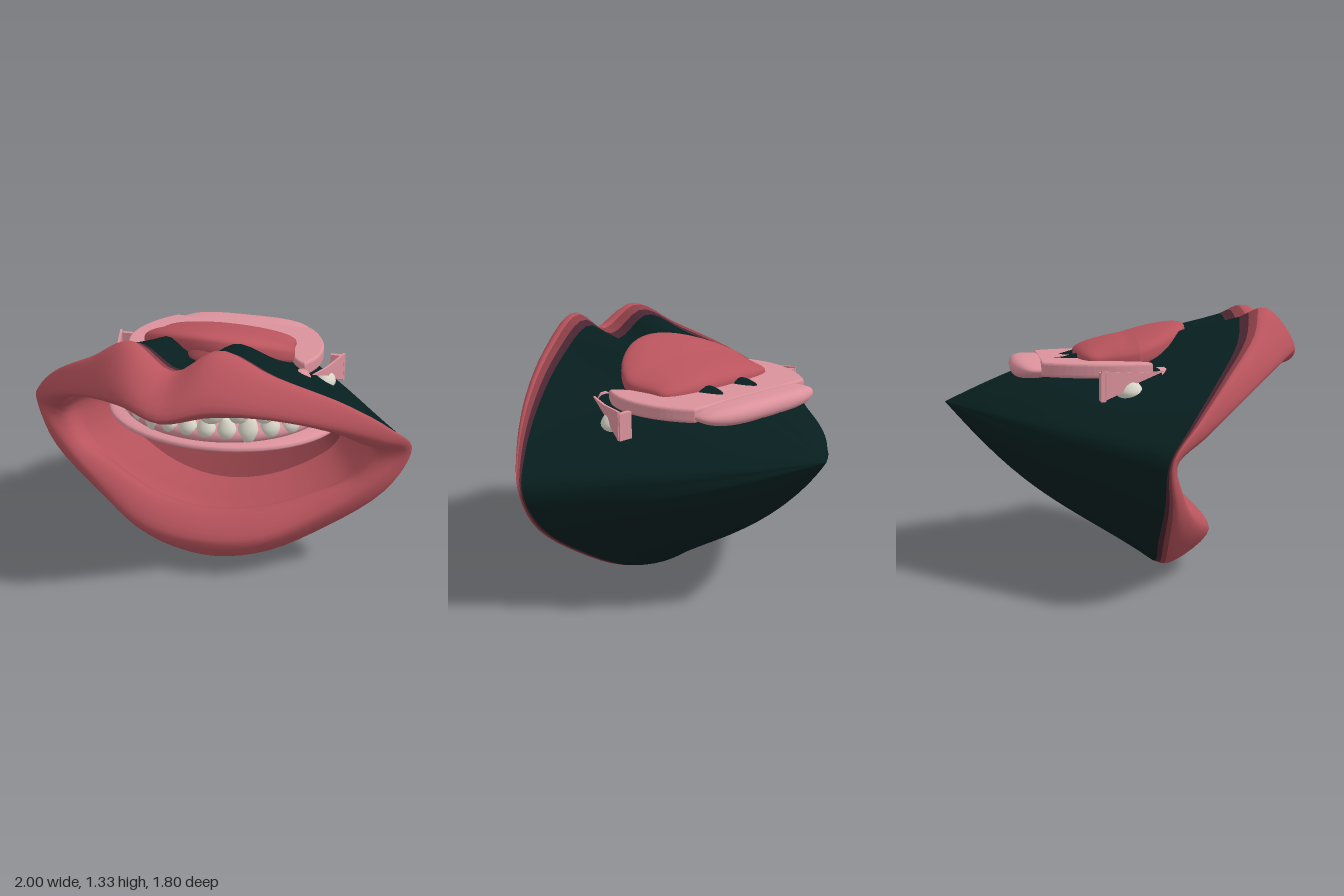
import * as THREE from 'three';

const V = (x, y, z) => new THREE.Vector3(x, y, z);
const paint = (name, color) => Object.assign(new THREE.MeshStandardMaterial({ color }), { name });
const round = (v, k) => Math.sign(v) * Math.abs(v) ** k;

// Half loops, top centre to bottom centre, from the back rim over the lip to the inside.
const LOOPS = [
  // back rim
  [[0, 1.18, .57], [.2, 1.285, .56], [.42, 1.17, .5], [.7, 1.0, .33], [.9, .83, .17],
    [.99, .7, .07], [.89, .49, .07], [.61, .26, .09], [.3, .08, .13], [0, .02, .14]],
  // outline crest
  [[0, 1.22, .74], [.2, 1.33, .7], [.42, 1.21, .62], [.7, 1.04, .42], [.9, .86, .23],
    [1, .71, .09], [.9, .49, .12], [.62, .25, .16], [.3, .065, .2], [0, 0, .21]],
  // front of the lip
  [[0, 1.08, .9], [.2, 1.12, .85], [.42, 1.07, .71], [.7, .93, .46], [.88, .8, .25],
    [.97, .7, .11], [.84, .53, .16], [.6, .36, .26], [.3, .23, .4], [0, .2, .44]],
  // edge of the opening
  [[0, 1.035, .84], [.2, 1.06, .76], [.42, 1.02, .62], [.65, .9, .42], [.78, .78, .26],
    [.84, .68, .12], [.75, .53, .14], [.55, .44, .19], [.28, .36, .28], [0, .33, .31]],
  // inside of the lip
  [[0, 1.11, .62], [.2, 1.13, .58], [.42, 1.06, .46], [.64, .93, .27], [.74, .79, .14],
    [.76, .7, .04], [.71, .52, .04], [.53, .38, .08], [.28, .28, .14], [0, .24, .16]],
];
const N = 80;

function fullLoop(half) {
  const pts = half.map(p => V(...p));
  for (let i = half.length - 2; i > 0; i--) pts.push(V(-half[i][0], half[i][1], half[i][2]));
  const curve = new THREE.CatmullRomCurve3(pts, true);
  return Array.from({ length: N }, (_, i) => curve.getPoint(i / N));
}

// Point on a rounded funnel running from a rim to its tip, fullest towards the tip
function funnel(p, tip, s, bulge) {
  const out = V(p.x, p.y - .72, 0).normalize().multiplyScalar(bulge * Math.sin(Math.PI * s ** 1.4));
  return p.clone().lerp(tip, s).add(out);
}

// One skin: outer bag, lips and inner pouch, coloured by bands of rows
function skinGeometry(bands) {
  const loops = LOOPS.map(fullLoop), rows = [];
  const tip = V(0, .86, -.9), innerTip = V(0, .84, -.86);
  for (let j = 16; j > 0; j--)
    rows.push(loops[0].map(p => funnel(p, tip, j / 16, p.y < .6 ? .085 : .06)));
  const profiles = loops[0].map((_, i) => new THREE.CatmullRomCurve3(loops.map(l => l[i])));
  for (let j = 0; j <= 24; j++) rows.push(profiles.map(c => c.getPoint(j / 24)));
  for (let j = 1; j <= 16; j++) rows.push(loops[4].map(p => funnel(p, innerTip, j / 16, .04)));

  const index = [], g = new THREE.BufferGeometry();
  for (let r = 0; r < rows.length - 1; r++)
    for (let i = 0; i < N; i++) {
      const k = (i + 1) % N, a = r * N + i, b = a + N, c = r * N + k, d = c + N;
      index.push(a, b, c, c, b, d);
    }
  g.setFromPoints(rows.flat());
  g.setIndex(index);
  let start = 0;
  for (const [end, mat] of bands) {
    g.addGroup(start * N * 6, (end - start) * N * 6, mat);
    start = end;
  }
  g.computeVertexNormals();
  return g;
}

// Sphere whose vertices are moved by a rule
function moulded(rule) {
  const g = new THREE.SphereGeometry(1, 56, 40), p = g.attributes.position;
  for (let i = 0; i < p.count; i++) p.setXYZ(i, ...rule(p.getX(i), p.getY(i), p.getZ(i)));
  g.computeVertexNormals();
  return g;
}

// Dental arch, angle 0 at the front
const arch = (a, y, rx, rz) => V(rx * Math.sin(a), y, -.1 + rz * Math.cos(a));
function archTube(y, rx, rz, span, radius) {
  const pts = Array.from({ length: 17 }, (_, i) => arch(span * (i / 8 - 1), y, rx, rz));
  return new THREE.TubeGeometry(new THREE.CatmullRomCurve3(pts), 64, radius, 12);
}

export function createModel() {
  const root = new THREE.Group();
  root.name = 'mouth';
  const red = paint('lip red', 0xb9545d), deep = paint('deep red', 0x8c3f46);
  const plum = paint('plum', 0x4a2632), dark = paint('dark teal', 0x081f1f);
  const pink = paint('gum pink', 0xdb929c), ivory = paint('tooth ivory', 0xdcd9cc);

  const add = (name, geo, mat, parent = root) => {
    const m = new THREE.Mesh(geo, mat);
    m.name = name;
    parent.add(m);
    return m;
  };

  // Lips and mouth cavity
  add('lipsAndCavity', skinGeometry([[16, 0], [18, 1], [20, 2], [43, 3], [46, 2], [51, 1], [56, 0]]),
    [dark, plum, deep, red]);

  // Tongue, raised through the roof, with a broad back and a narrow, lifted front
  add('tongue', moulded((x, y, z) => {
    const w = z < 0 ? 1 + 1.2 * z ** 4 : 1 - .22 * z, zz = .035 + .285 * z;
    const lift = zz > 0 ? 1.115 + .3 * zz : 1.115 + .15 * zz;
    return [x * .39 * w, lift + .085 * round(y, .6) - .03 * x * x, zz];
  }), red);
  const tip = add('tongueTip', new THREE.SphereGeometry(1, 24, 16), deep);
  tip.scale.set(.08, .04, .1);
  tip.position.set(0, 1.15, .265);
  const base = add('tongueBase', new THREE.SphereGeometry(1, 32, 20), red);
  base.scale.set(.34, .1, .3);
  base.position.set(0, .85, -.03);

  // Palate plate with two openings
  const plate = new THREE.Shape();
  plate.moveTo(-.45, -.07);
  plate.bezierCurveTo(-.54, .1, -.47, .3, -.37, .42);
  plate.lineTo(.37, .42);
  plate.bezierCurveTo(.47, .3, .54, .1, .45, -.07);
  plate.bezierCurveTo(.4, -.04, .38, .02, .34, .1);
  plate.lineTo(-.34, .1);
  plate.bezierCurveTo(-.38, .02, -.4, -.04, -.45, -.07);
  for (const s of [-1, 1]) {
    const hole = new THREE.Path();
    hole.moveTo(s * .18, .23);
    hole.quadraticCurveTo(s * .14, .35, s * .11, .355);
    hole.quadraticCurveTo(s * .07, .33, s * .055, .24);
    hole.closePath();
    plate.holes.push(hole);
  }
  const palate = add('palate', new THREE.ExtrudeGeometry(plate,
    { depth: .04, bevelSize: .012, bevelThickness: .015, bevelSegments: 4, curveSegments: 16 }), pink);
  palate.rotation.x = -Math.PI / 2;
  palate.position.y = 1.03;

  // Rounded ridge across the back of the palate
  add('palateRidge', moulded((x, y, z) =>
    [.375 * round(x, .55), 1.04 + .048 * y, -.485 + .09 * round(z, .55) + .04 * x * x]), pink);

  // Gums
  add('upperGum', archTube(1.01, .5, .49, 1.15, .052), pink);
  add('lowerGum', archTube(.775, .5, .46, 1.35, .04), pink);
  add('lowerGumPlate', moulded((x, y, z) =>
    [.62 * x, .72 + (y > 0 ? .045 : .06) * round(y, y > 0 ? .6 : 1), -.1 + (z > 0 ? .52 : .25) * z]), pink);

  // Teeth
  const profile = [[0, -1], [.4, -.95], [.78, -.75], [1, -.3], [.95, .1], [.72, .55], [.4, .9], [0, 1]];
  const toothGeo = new THREE.LatheGeometry(
    new THREE.SplineCurve(profile.map(p => new THREE.Vector2(...p))).getPoints(20), 20);
  function toothRow(name, spec, rx, rz, flip) {
    const row = new THREE.Group();
    row.name = name;
    root.add(row);
    for (const s of [-1, 1])
      spec.forEach(([a, w, h, y, depth = .04], i) => {
        const t = add(name + (s > 0 ? 'Left' : 'Right') + (i + 1), toothGeo, ivory, row);
        t.position.copy(arch(s * a, y, rx, rz));
        t.rotation.set(0, s * a, flip ? Math.PI : 0);
        t.scale.set(w, h, depth);
      });
  }
  // angle, half width, half height, centre height, half depth
  toothRow('upperTooth', [[.145, .063, .085, .935], [.39, .053, .08, .935], [.63, .055, .085, .93],
    [.87, .052, .075, .935], [1.13, .052, .06, .94], [1.44, .062, .052, .965, .052]], .54, .5, false);
  toothRow('lowerTooth', [[.09, .047, .055, .815], [.28, .047, .058, .815], [.48, .05, .075, .815],
    [.7, .05, .06, .815], [.93, .05, .055, .81], [1.2, .052, .05, .805]], .52, .47, false);

  // Gum ends around the rearmost upper teeth
  const wedge = new THREE.Shape([[-.14, 1.05], [.0, 1.0], [.1, .95], [.18, .92], [.18, 1.06], [0, 1.045]]
    .map(p => new THREE.Vector2(...p)));
  const wedgeGeo = new THREE.ExtrudeGeometry(wedge, { depth: .012, bevelEnabled: false });
  for (const s of [-1, 1]) {
    const end = new THREE.Group();
    end.name = s > 0 ? 'gumEndLeft' : 'gumEndRight';
    root.add(end);
    const side = add('gumEndSide', wedgeGeo, pink, end);
    side.rotation.y = Math.PI / 2 - s * .3;
    side.position.set(s * .55 - .006, 0, 0);
    const back = add('gumEndBack', new THREE.BoxGeometry(.07, .13, .025), pink, end);
    back.position.set(s * .57, .985, -.165);
  }
  return root;
}
